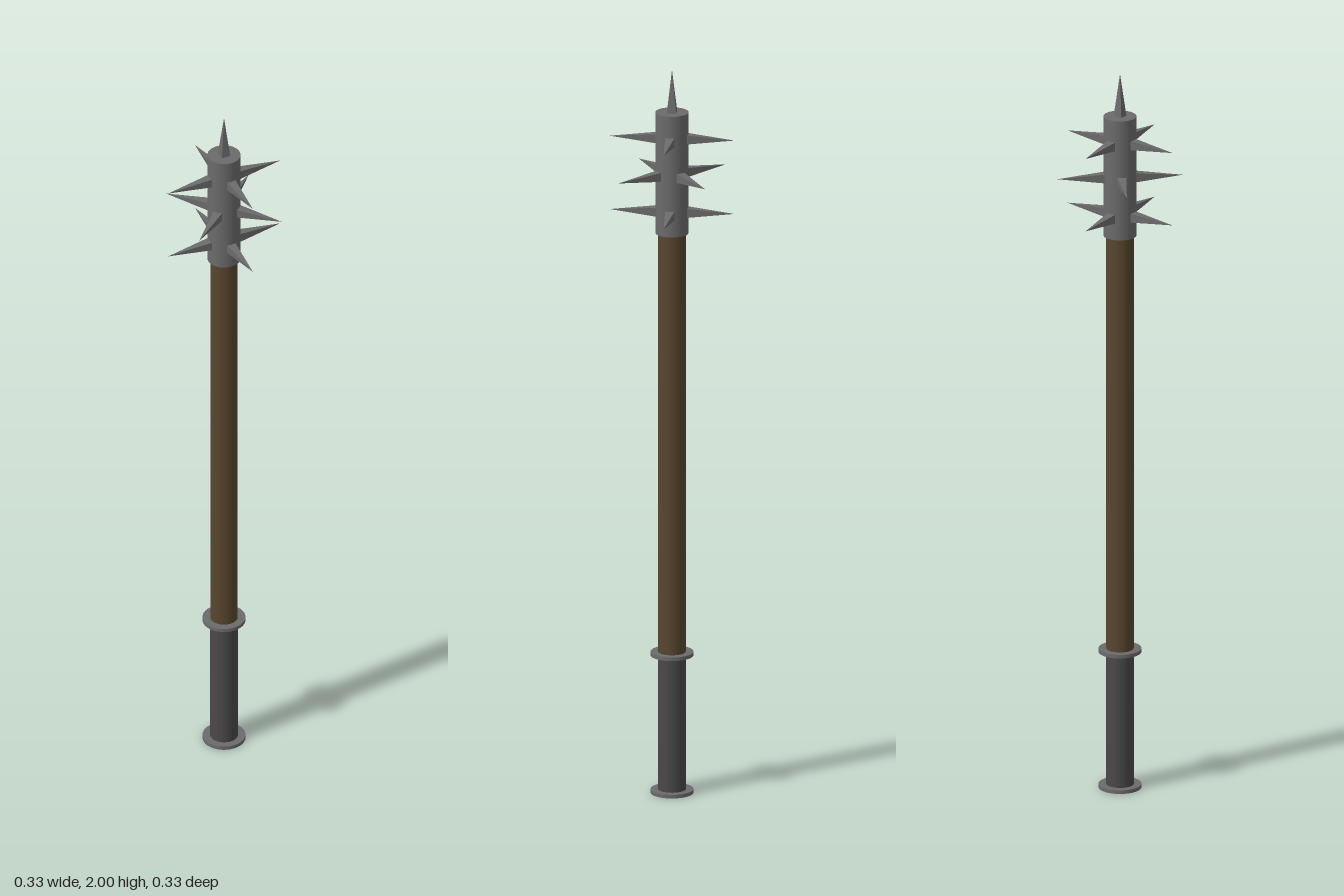
import * as THREE from 'three';

const steel = new THREE.MeshStandardMaterial({ name: 'steel', color: 0x6b6b6b });
const wood = new THREE.MeshStandardMaterial({ name: 'wood', color: 0x57462e });
const leather = new THREE.MeshStandardMaterial({ name: 'leather', color: 0x4a4849 });

const HEAD_RADIUS = 0.044;

export function createModel() {
  const model = new THREE.Group();
  model.name = 'spikedMace';

  const add = (name, geometry, material, parent = model) => {
    const mesh = new THREE.Mesh(geometry, material);
    mesh.name = name;
    parent.add(mesh);
    return mesh;
  };

  // Upright cylinder between two heights
  const rod = (name, radius, y0, y1, material) => {
    const mesh = add(name, new THREE.CylinderGeometry(radius, radius, y1 - y0, 32), material);
    mesh.position.y = (y0 + y1) / 2;
  };

  // Shaft, grip and head
  rod('grip', 0.037, 0.005, 0.385, leather);
  rod('shaft', 0.0365, 0.385, 1.56, wood);
  rod('head', HEAD_RADIUS, 1.548, 1.882, steel);

  // Thin collars at both ends of the grip
  rod('pommelCollar', 0.057, 0, 0.01, steel);
  rod('gripCollar', 0.057, 0.38, 0.39, steel);

  // Square pyramid spike standing on its base, sides facing the axes
  const spikeGeometry = (length) => {
    const geometry = new THREE.ConeGeometry(0.0125 * Math.SQRT2, length, 4).toNonIndexed();
    geometry.rotateY(Math.PI / 4);
    geometry.translate(0, length / 2, 0);
    geometry.computeVertexNormals();
    return geometry;
  };

  add('topSpike', spikeGeometry(0.12), steel).position.y = 1.88;

  // Three rings of four spikes, the middle ring turned between the others
  const sideSpike = spikeGeometry(0.127);
  sideSpike.rotateZ(-Math.PI / 2);
  sideSpike.translate(HEAD_RADIUS - 0.004, 0, 0);
  const rings = [['lower', 1.607, 0], ['middle', 1.711, 0.69], ['upper', 1.81, 0]];
  for (const [name, y, turn] of rings) {
    const ring = new THREE.Group();
    ring.name = name + 'SpikeRing';
    ring.position.y = y;
    ring.rotation.y = turn;
    for (let i = 0; i < 4; i++) {
      add(name + 'Spike', sideSpike, steel, ring).rotation.y = (i * Math.PI) / 2;
    }
    model.add(ring);
  }

  return model;
}
